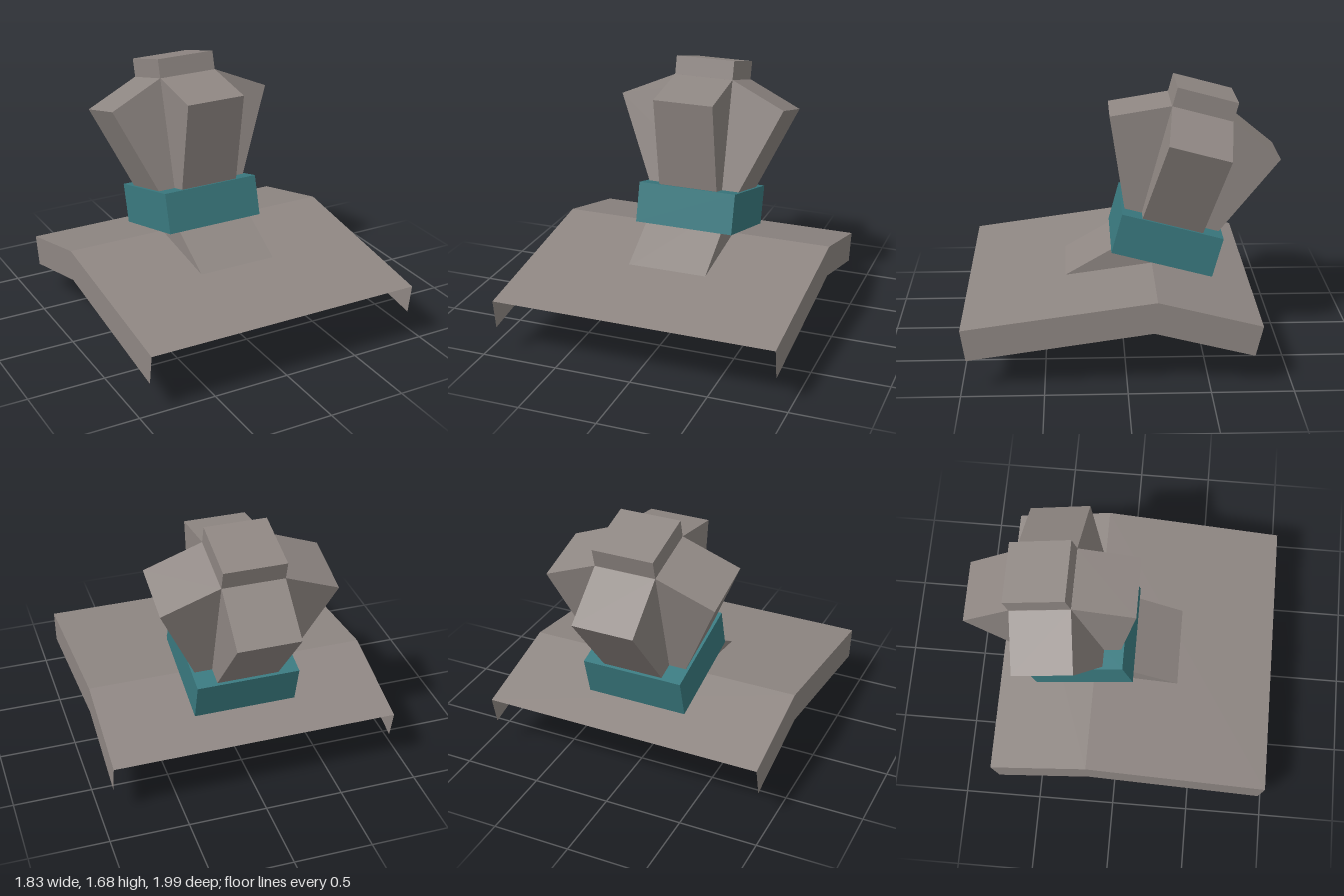
import * as THREE from 'three';

const grey = new THREE.MeshStandardMaterial({ color: 0x8f8783, side: THREE.DoubleSide });
grey.name = 'warm grey';
const teal = new THREE.MeshStandardMaterial({ color: 0x3a7a80 });
teal.name = 'dark teal';

function mesh(geometry, material, name, parent) {
  const m = new THREE.Mesh(geometry, material);
  m.name = name;
  parent.add(m);
  return m;
}

const shapeOf = (pts) => new THREE.Shape(pts.map(([a, b]) => new THREE.Vector2(a, b)));

// Flat faces following a [z, y] profile from front to back, spanning x = -w..w
function sheet(profile, w) {
  const pos = [];
  for (let i = 0; i < profile.length - 1; i++) {
    const [z0, y0] = profile[i], [z1, y1] = profile[i + 1];
    const a = [-w, y0, z0], b = [w, y0, z0], c = [w, y1, z1], d = [-w, y1, z1];
    pos.push(...a, ...b, ...c, ...a, ...c, ...d);
  }
  const g = new THREE.BufferGeometry();
  g.setAttribute('position', new THREE.Float32BufferAttribute(pos, 3));
  g.computeVertexNormals();
  return g;
}

// Folded sheet with two side panels, open underneath
function hood(name, top, bottom, w) {
  const group = new THREE.Group();
  group.name = name;
  mesh(sheet(top, w), grey, name + 'Top', group);
  for (const s of [1, -1]) {
    const g = new THREE.ShapeGeometry(shapeOf([...top, ...bottom]));
    g.rotateY(-Math.PI / 2);
    g.translate(s * w, 0, 0);
    mesh(g, grey, name + (s > 0 ? 'LeftSide' : 'RightSide'), group);
  }
  return group;
}

export function createModel() {
  const model = new THREE.Group();
  model.name = 'roofFinial';

  // Roof slopes with side skirts
  model.add(hood('roof',
    [[1, 0.39], [-0.18, 0.553], [-0.815, 0.39]],
    [[-0.77, 0.2], [-0.16, 0.355], [0.97, 0.195]], 0.915));

  // Sloping neck passing through the roof
  model.add(hood('neck',
    [[0.393, 0.465], [-0.15, 0.78], [-0.44, 0.6], [-0.535, 0.4]],
    [[0.14, 0.003]], 0.26));

  // Everything above the neck leans back
  const top = new THREE.Group();
  top.name = 'leaningTop';
  top.position.set(0, 0.691, -0.275);
  top.rotation.x = -Math.PI / 12;
  model.add(top);

  mesh(new THREE.BoxGeometry(0.66, 0.264, 0.663), teal, 'collar', top);

  // Two crossing slabs form the four lobes of the head
  const half = [[0.28, 0.06], [0.558, 0.69], [0.2, 0.851]];
  const outline = [...half, ...half.map(([r, y]) => [-r, y]).reverse()];
  for (let i = 0; i < 2; i++) {
    const g = new THREE.ExtrudeGeometry(shapeOf(outline), { depth: 0.396, bevelEnabled: false });
    g.translate(0, 0, -0.198);
    g.rotateY(i * Math.PI / 2);
    mesh(g, grey, i ? 'frontBackLobes' : 'sideLobes', top);
  }

  const cap = mesh(new THREE.BoxGeometry(0.396, 0.175, 0.396), grey, 'cap', top);
  cap.position.y = 0.886;

  return model;
}
